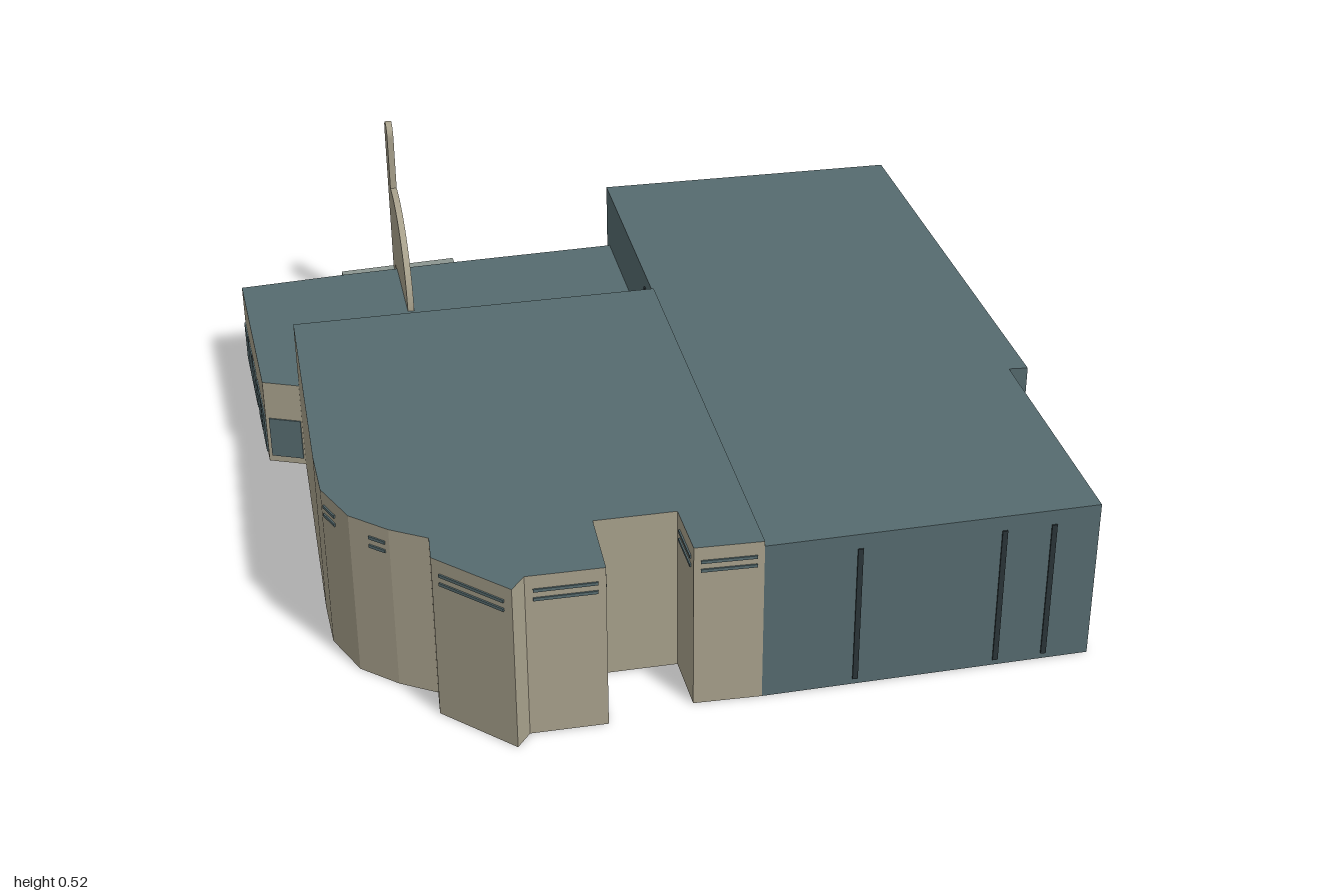
import * as THREE from 'three';

const mat = (name, color) => new THREE.MeshStandardMaterial({ name, color });

export function createModel() {
  const model = new THREE.Group();
  model.name = 'building';
  const slate = mat('slate', 0x566b6f);
  const beige = mat('beige', 0xa8a18c);
  const dark = mat('darkJoint', 0x2a3437);
  const grey = mat('canopyGrey', 0x8c9690);

  const add = (name, geometry, material, parent = model) => {
    const m = new THREE.Mesh(geometry, material);
    m.name = name;
    parent.add(m);
    return m;
  };

  // Upright prism over a ground plan of [x, z] points
  const prism = (name, pts, y0, y1, material) => {
    const shape = new THREE.Shape(pts.map(([x, z]) => new THREE.Vector2(x, -z)));
    const g = new THREE.ExtrudeGeometry(shape, { depth: y1 - y0, bevelEnabled: false });
    g.rotateX(-Math.PI / 2).translate(0, y0, 0);
    return add(name, g, material);
  };

  // Walls of one colour with a slate roof sheet
  const block = (name, pts, h, wall) => {
    prism(name + 'Walls', pts, 0, h - 0.004, wall);
    prism(name + 'Roof', pts, h - 0.004, h, [slate, wall]);
  };

  // Thin plate on the wall a-b, between fractions f0 and f1 of its length
  const panel = (name, a, b, f0, f1, y0, y1, material) => {
    const dx = b[0] - a[0], dz = b[1] - a[1], f = (f0 + f1) / 2;
    const m = add(name, new THREE.BoxGeometry(Math.hypot(dx, dz) * (f1 - f0), y1 - y0, 0.006), material);
    m.position.set(a[0] + dx * f, (y0 + y1) / 2, a[1] + dz * f);
    m.rotation.y = -Math.atan2(dz, dx);
  };

  // Large rear hall
  const hall = [[-0.27, -0.915], [0.59, -0.4], [0.567, -0.37], [1, -0.105], [0.68, 0.43], [-0.62, -0.36]];
  block('rearHall', hall, 0.325, slate);

  // Tall front hall with its rounded corner and notch
  const front = [[-0.157, -0.08], [0.68, 0.43], [0.61, 0.535], [0.505, 0.475], [0.425, 0.605], [0.55, 0.685],
    [0.475, 0.805], [0.49, 0.845], [0.32, 0.885], [0.27, 0.85], [0.2, 0.885], [0.115, 0.91],
    [0.01, 0.895], [-0.09, 0.84], [-0.545, 0.565]];
  block('frontHall', front, 0.335, beige);

  // Low entrance wing
  const wing = [[-0.157, -0.08], [-0.545, 0.565], [-0.61, 0.612], [-1, 0.4], [-0.893, 0.19], [-0.77, -0.035], [-0.595, -0.345]];
  block('entranceWing', wing, 0.19, beige);

  // Vertical joints on the rear hall: [wall start, fractions along it]
  [[0, [0.09, 0.25, 0.423, 0.506, 0.583, 0.667, 0.833]], [2, [0.33]], [3, [0.14, 0.29, 0.72]],
    [4, [0.7]], [5, [0.36, 0.64, 0.75, 0.88]]].forEach(([i, fractions]) => {
    const a = hall[i], b = hall[(i + 1) % hall.length];
    const w = 0.005 / Math.hypot(b[0] - a[0], b[1] - a[1]);
    fractions.forEach((f) => panel('wallJoint', a, b, f - w, f + w, 0.012, 0.295, dark));
  });

  // Paired bands below the roof edge of the front hall
  [[1, 0.1, 0.9], [2, 0.15, 0.85], [4, 0.1, 0.9], [5, 0.1, 0.9], [7, 0.1, 0.9], [10, 0.1, 0.5], [11, 0.5, 0.9], [14, 0.05, 0.95]]
    .forEach(([i, f0, f1]) => {
      const a = front[i], b = front[(i + 1) % front.length];
      [0.284, 0.302].forEach((y) => panel('roofBand', a, b, f0, f1, y, y + 0.006, slate));
    });

  // Windows of the wing's front, with dark door leaves
  const wingFront = (x0, x1, m) => panel('frontWindow', wing[3], wing[2], (x0 + 1) / 0.39, (x1 + 1) / 0.39, 0.015, 0.105, m);
  [[-0.995, -0.935], [-0.91, -0.86], [-0.835, -0.79], [-0.76, -0.7], [-0.685, -0.62]]
    .forEach(([x0, x1]) => wingFront(x0, x1, slate));
  [[-0.935, -0.91], [-0.86, -0.835]].forEach(([x0, x1]) => wingFront(x0, x1, dark));
  panel('cornerWindow', wing[1], wing[2], 0.04, 0.9, 0.015, 0.105, slate);

  // Windows of the wing's side
  [[3, 3], [4, 4], [5, 5]].forEach(([i, n]) => {
    for (let k = 0; k < n; k++) {
      panel('sideWindow', wing[i], wing[i + 1], (k + 0.15) / n, (k + 0.85) / n, 0.015, 0.105, slate);
    }
  });

  // Entrance canopy
  prism('canopy', [[-0.85, -0.08], [-0.765, -0.035], [-0.887, 0.192], [-0.97, 0.15]], 0.125, 0.155, grey);

  // Upright fin: round-topped pillar with a quarter-ellipse web
  const r = 0.028;
  const fin = new THREE.Shape();
  fin.moveTo(0, 0.13);
  fin.lineTo(2 * r, 0.13);
  fin.lineTo(2 * r, 0.185);
  fin.lineTo(0.304, 0.185);
  fin.absellipse(0.075, 0.19, 0.229, 0.185, 0, Math.PI / 2, false);
  fin.lineTo(2 * r, 0.375);
  fin.lineTo(2 * r, 0.525 - r);
  fin.absarc(r, 0.525 - r, r, 0, Math.PI, false);
  const finGeo = new THREE.ExtrudeGeometry(fin, { depth: 0.014, bevelEnabled: false, curveSegments: 14 });
  finGeo.translate(0, 0, -0.007);
  const finMesh = add('entranceFin', finGeo, beige);
  finMesh.position.set(-0.912, 0, 0.036);
  finMesh.rotation.y = -Math.atan2(0.155, 0.26);

  return model;
}
